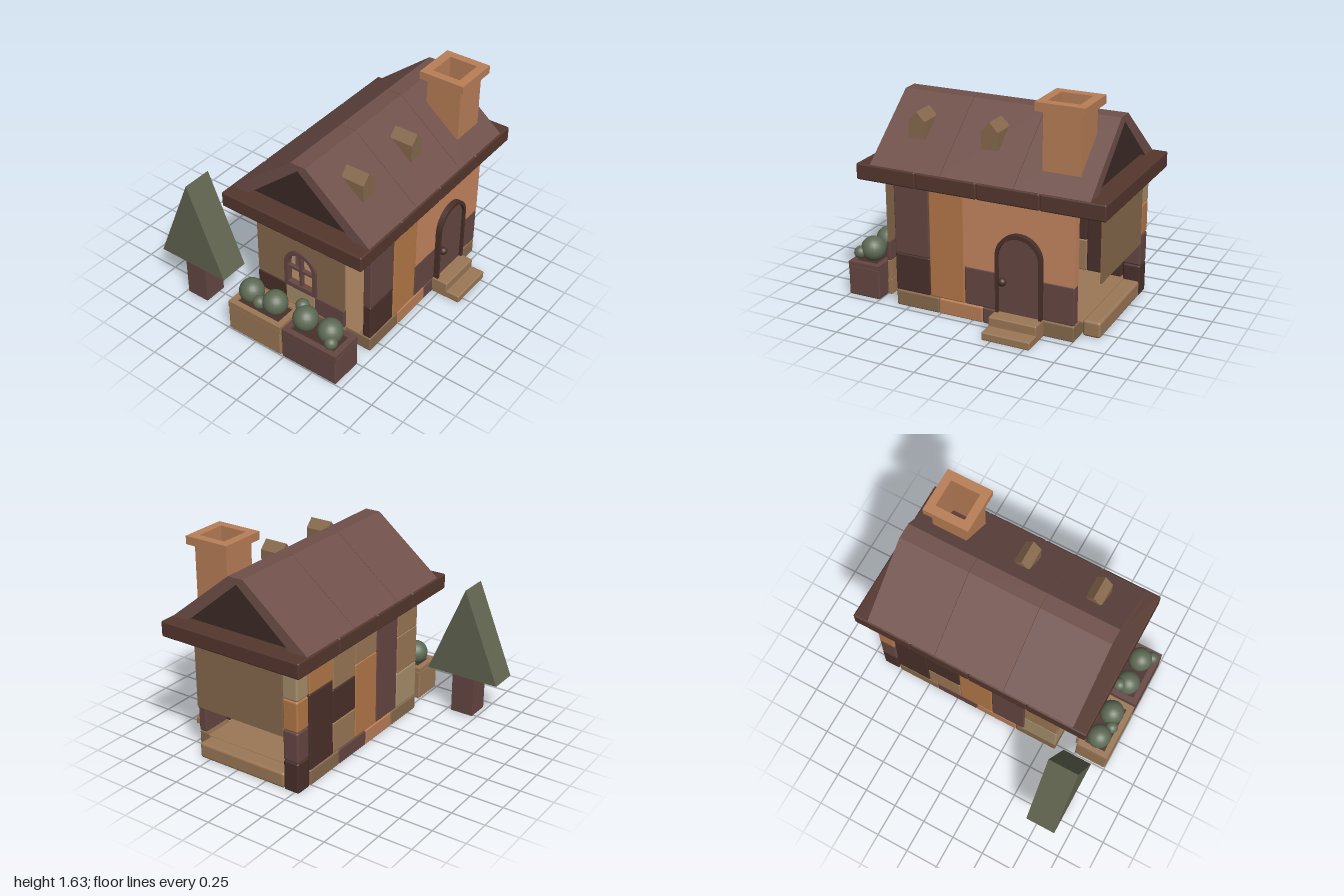
import * as THREE from 'three';
import { RoundedBoxGeometry } from 'three/addons/geometries/RoundedBoxGeometry.js';

const C = {
  roof: 0x70504a, eave: 0x55372e, maroon: 0x664743, dark: 0x4a302a, orange: 0xb57848, clay: 0xc58660,
  brick: 0xba7f58, tan: 0x9c7857, khaki: 0xa8906c, brown: 0x876a4d, leaf: 0x626650, bush: 0x5f6b55, gable: 0x3d2a26,
};

export function createModel() {
  const model = new THREE.Group();
  const add = (name, geometry, color, parent = model) => {
    const mesh = new THREE.Mesh(geometry, new THREE.MeshStandardMaterial({ color }));
    mesh.name = name;
    parent.add(mesh);
    return mesh;
  };
  const group = (name) => {
    const g = new THREE.Group();
    g.name = name;
    model.add(g);
    return g;
  };
  // Softly rounded block given by its limits on each axis
  const block = (name, [x0, x1], [y0, y1], [z0, z1], color, parent, r = 0.01) => {
    const geo = new RoundedBoxGeometry(x1 - x0, y1 - y0, z1 - z0, 2, r);
    geo.translate((x0 + x1) / 2, (y0 + y1) / 2, (z0 + z1) / 2);
    return add(name, geo, color, parent);
  };
  const polygon = (pts) => new THREE.Shape(pts.map(([a, b]) => new THREE.Vector2(a, b)));
  const extrude = (shape, depth) => new THREE.ExtrudeGeometry(shape, { depth, bevelEnabled: false, curveSegments: 16 });
  // Extrusions along each axis; the x version takes shapes drawn in (-z, y)
  const alongX = (shape, x0, x1) => extrude(shape, x1 - x0).rotateY(Math.PI / 2).translate(x0, 0, 0);
  const alongY = (shape, y0, y1) => extrude(shape, y1 - y0).rotateX(-Math.PI / 2).translate(0, y0, 0);
  const alongZ = (shape, z0, z1) => extrude(shape, z1 - z0).translate(0, 0, z0);
  const rect = (w, h) => polygon([[-w / 2, -h / 2], [w / 2, -h / 2], [w / 2, h / 2], [-w / 2, h / 2]]);
  const withHole = (outer, inner) => { outer.holes.push(inner); return outer; };
  const arch = (c, w, y0, top) => {
    const s = new THREE.Shape(), r = w / 2;
    s.moveTo(c - r, y0);
    s.lineTo(c + r, y0);
    s.lineTo(c + r, top - r);
    s.absarc(c, top - r, r, 0, Math.PI, false);
    s.closePath();
    return s;
  };

  // Foundation and floor
  const base = group('foundation');
  [C.brown, C.brick, C.maroon, C.brown].forEach((c, i) => {
    const x = -0.6 + i * 0.34;
    block('foundationBlock', [x, x + 0.338], [0, 0.115], [-0.29, 0.7], c, base);
  });
  block('sideFoundation', [0.77, 0.9], [0, 0.12], [-0.165, 0.58], C.tan, base, 0.02);
  block('floor', [-0.6, 0.78], [0.1, 0.122], [-0.2, 0.6], C.tan, base, 0.005);
  block('lowerStep', [0.185, 0.54], [0, 0.06], [0.7, 0.93], C.tan, base);
  block('upperStep', [0.185, 0.54], [0.02, 0.127], [0.6, 0.825], C.tan, base);

  // Front wall
  const front = group('frontWall'), fz = [0.635, 0.7];
  block('wallBlock', [-0.6, -0.33], [0.12, 0.4], fz, C.dark, front);
  block('wallBlock', [-0.6, -0.33], [0.4, 0.95], fz, C.maroon, front);
  block('wallBlock', [-0.328, -0.058], [0.12, 0.95], fz, C.orange, front);
  block('wallBlock', [-0.056, 0.22], [0.12, 0.4], fz, C.maroon, front);
  block('wallBlock', [0.51, 0.76], [0.12, 0.4], fz, C.maroon, front);
  const upper = polygon([[-0.056, 0.4], [0.205, 0.4], [0.205, 0.55], [0.525, 0.55], [0.525, 0.4], [0.76, 0.4], [0.76, 0.95], [-0.056, 0.95]]);
  add('archWall', alongZ(upper, ...fz), C.clay, front);

  // Door
  const door = group('door');
  add('doorFrame', alongZ(withHole(arch(0.365, 0.34, 0.12, 0.715), arch(0.365, 0.3, 0.125, 0.685)), 0.605, 0.74), C.dark, door);
  add('doorPanel', alongZ(arch(0.365, 0.304, 0.12, 0.687), 0.625, 0.718), C.maroon, door);
  add('doorKnob', new THREE.SphereGeometry(0.03, 16, 12).translate(0.25, 0.36, 0.738), C.dark, door);

  // Back wall: five columns from +x to -x, each a stack of [top, color]
  const back = group('backWall');
  [
    [[0.7, C.dark], [0.95, C.orange]],
    [[0.36, C.tan], [0.62, C.dark], [0.95, C.tan]],
    [[0.7, C.orange], [0.95, C.tan]],
    [[0.95, C.maroon]],
    [[0.4, C.khaki], [0.7, C.tan], [0.95, C.tan]],
  ].forEach((stack, i) => {
    const x = 0.76 - i * 0.272;
    let y = 0.12;
    stack.forEach(([top, c]) => {
      block('wallBlock', [x - 0.27, x], [y, top], [-0.29, -0.165], c, back);
      y = top;
    });
  });

  // Corner post
  const post = group('cornerPost');
  [C.dark, C.maroon, C.orange, C.khaki].forEach((c, i) =>
    block('postBlock', [0.77, 0.9], [i * 0.234, (i + 1) * 0.234], [-0.29, -0.165], c, post, 0.015));

  // Side walls: a panel on each side, stones below the left one
  const sides = group('sideWalls');
  const panel = () => polygon([[-0.58, 0.41], [0.165, 0.41], [0.165, 0.945], [-0.58, 0.945]]);
  add('rightPanel', alongX(panel(), 0.89, 0.9), C.brown, sides);
  add('leftPanel', alongX(withHole(panel(), arch(-0.215, 0.22, 0.45, 0.725)), -0.737, -0.727), C.brown, sides);
  [[C.tan, C.orange, C.tan], [C.maroon, C.khaki, C.dark]].forEach((row, j) => row.forEach((c, i) => {
    const z = 0.58 - i * 0.248;
    block('sideStone', [-0.745, -0.715], [0.12 + j * 0.146, 0.266 + j * 0.146], [z - 0.248, z], c, sides, 0.004);
  }));
  block('leftFoundation', [-0.75, -0.715], [0, 0.12], [-0.165, 0.58], C.tan, sides, 0.004);

  // Arched side window
  const win = group('sideWindow');
  add('windowFrame', alongX(withHole(arch(-0.215, 0.27, 0.42, 0.75), arch(-0.215, 0.21, 0.455, 0.72)), -0.757, -0.71), C.maroon, win);
  block('windowBar', [-0.748, -0.718], [0.44, 0.735], [0.202, 0.228], C.maroon, win, 0.004);
  block('windowBar', [-0.748, -0.718], [0.575, 0.6], [0.1, 0.33], C.maroon, win, 0.004);

  // Eaves and roof
  const roof = group('roof');
  for (let i = 0; i < 4; i++) {
    const x = -0.84 + i * 0.46;
    block('eaveBlock', [x, x + 0.459], [0.935, 1.052], [-0.38, 0.785], C.eave, roof, 0.012);
  }
  const slab = [[-0.775, 1.05], [-0.64, 1.05], [-0.2, 1.42], [0.23, 1.05], [0.37, 1.05], [-0.145, 1.465], [-0.265, 1.465]];
  for (let i = 0; i < 3; i++) {
    const x = -0.735 + i * 0.542;
    add('roofSlab', alongX(polygon(slab), x, x + 0.539), C.roof, roof);
  }
  const gable = [[-0.645, 1.045], [0.235, 1.045], [-0.2, 1.425]];
  for (const x of [-0.69, 0.83]) add('gable', alongX(polygon(gable), x, x + 0.02), C.gable, roof);

  // Dormers
  for (const x of [-0.472, 0.082]) {
    const s = polygon([[-0.062, 1.22], [0.062, 1.22], [0.062, 1.345], [0, 1.41], [-0.062, 1.345]]);
    add('dormer', alongZ(s, 0.4, 0.58).translate(x, 0, 0), C.brown, roof);
  }

  // Hollow chimney
  const chimney = group('chimney');
  chimney.position.set(0.632, 0, 0.513);
  add('chimneyStack', alongY(withHole(rect(0.266, 0.27), rect(0.225, 0.215)), 1.16, 1.57), C.brick, chimney);
  add('chimneyCap', alongY(withHole(rect(0.35, 0.35), rect(0.225, 0.215)), 1.57, 1.63), C.brick, chimney);

  // Planters with round shrubs, each shrub as [x, y, z, radius]
  const planters = group('planters');
  [
    [0.468, C.maroon, [[-0.87, 0.325, 0.35, 0.092], [-0.87, 0.325, 0.56, 0.092], [-0.943, 0.305, 0.62, 0.047], [-0.825, 0.375, 0.29, 0.05]]],
    [-0.008, C.tan, [[-0.87, 0.325, -0.125, 0.092], [-0.87, 0.325, 0.085, 0.092], [-0.92, 0.31, -0.015, 0.05]]],
  ].forEach(([z, c, shrubs]) => {
    block('planterBase', [-0.999, -0.746], [0, 0.23], [z - 0.232, z + 0.232], c, planters, 0.012);
    add('planterRim', alongY(withHole(rect(0.25, 0.46), rect(0.165, 0.37)), 0.2, 0.256).translate(-0.873, 0, z), c, planters);
    block('soil', [-0.96, -0.785], [0.2, 0.24], [z - 0.19, z + 0.19], C.dark, planters, 0.005);
    shrubs.forEach(([x, y, sz, r]) => add('shrub', new THREE.SphereGeometry(r, 20, 14).translate(x, y, sz), C.bush, planters));
  });

  // Wedge-shaped tree
  const tree = group('tree');
  add('foliage', alongX(polygon([[0.345, 0.33], [0.927, 0.33], [0.636, 1.03]]), -0.917, -0.69), C.leaf, tree);
  add('trunk', new THREE.BoxGeometry(0.18, 0.325, 0.18).translate(-0.803, 0.174, -0.636), C.maroon, tree);

  return model;
}
